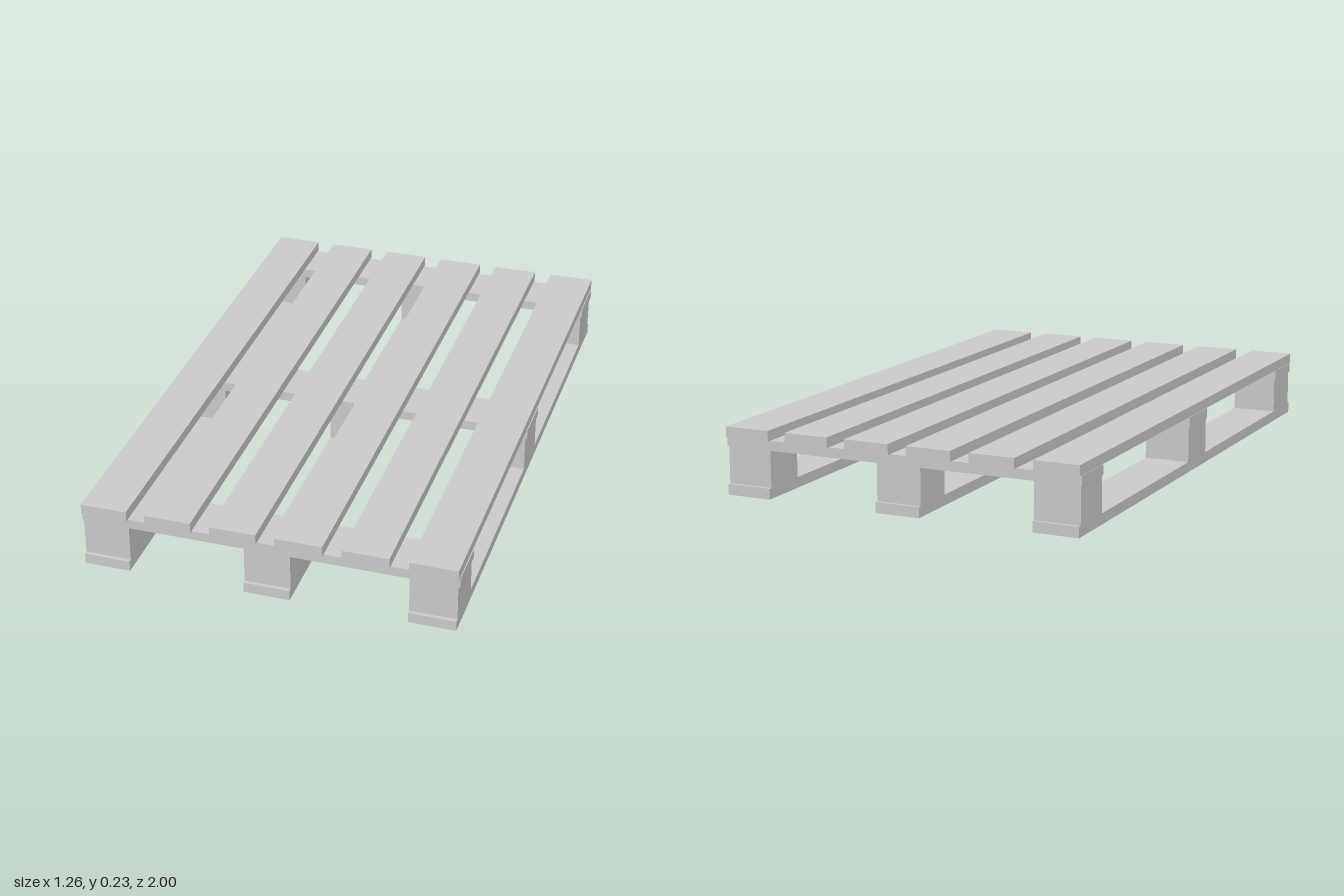
import * as THREE from 'three';

export function createModel() {
  const model = new THREE.Group();
  const wood = new THREE.MeshStandardMaterial({ color: 0xcccccc });
  wood.name = 'greyWood';

  // Box given by its lower and upper limits on each axis
  function plank(name, [x0, x1], [y0, y1], [z0, z1]) {
    const mesh = new THREE.Mesh(new THREE.BoxGeometry(x1 - x0, y1 - y0, z1 - z0), wood);
    mesh.position.set((x0 + x1) / 2, (y0 + y1) / 2, (z0 + z1) / 2);
    mesh.name = name;
    model.add(mesh);
  }

  // Deck boards, running front to back
  const deck = [[-0.63, -0.474], [-0.411, -0.255], [-0.191, -0.035], [0.028, 0.186], [0.249, 0.405], [0.468, 0.627]];
  deck.forEach((x, i) => plank(`deckBoard${i + 1}`, x, [0.193, 0.228], [-1, 1]));

  // Cross boards, and the blocks below them
  const rows = [[-0.988, -0.825], [-0.08, 0.085], [0.822, 0.988]];
  const columns = [[-0.628, -0.472], [-0.08, 0.075], [0.467, 0.624]];
  rows.forEach((z, r) => {
    plank(`crossBoard${r + 1}`, [-0.632, 0.63], [0.16, 0.193], z);
    columns.forEach((x, c) => plank(`block${r + 1}_${c + 1}`, x, [0.036, 0.16], z));
  });

  // Bottom runners
  columns.forEach((x, i) => plank(`runner${i + 1}`, x, [0, 0.036], [-1, 1]));

  return model;
}
